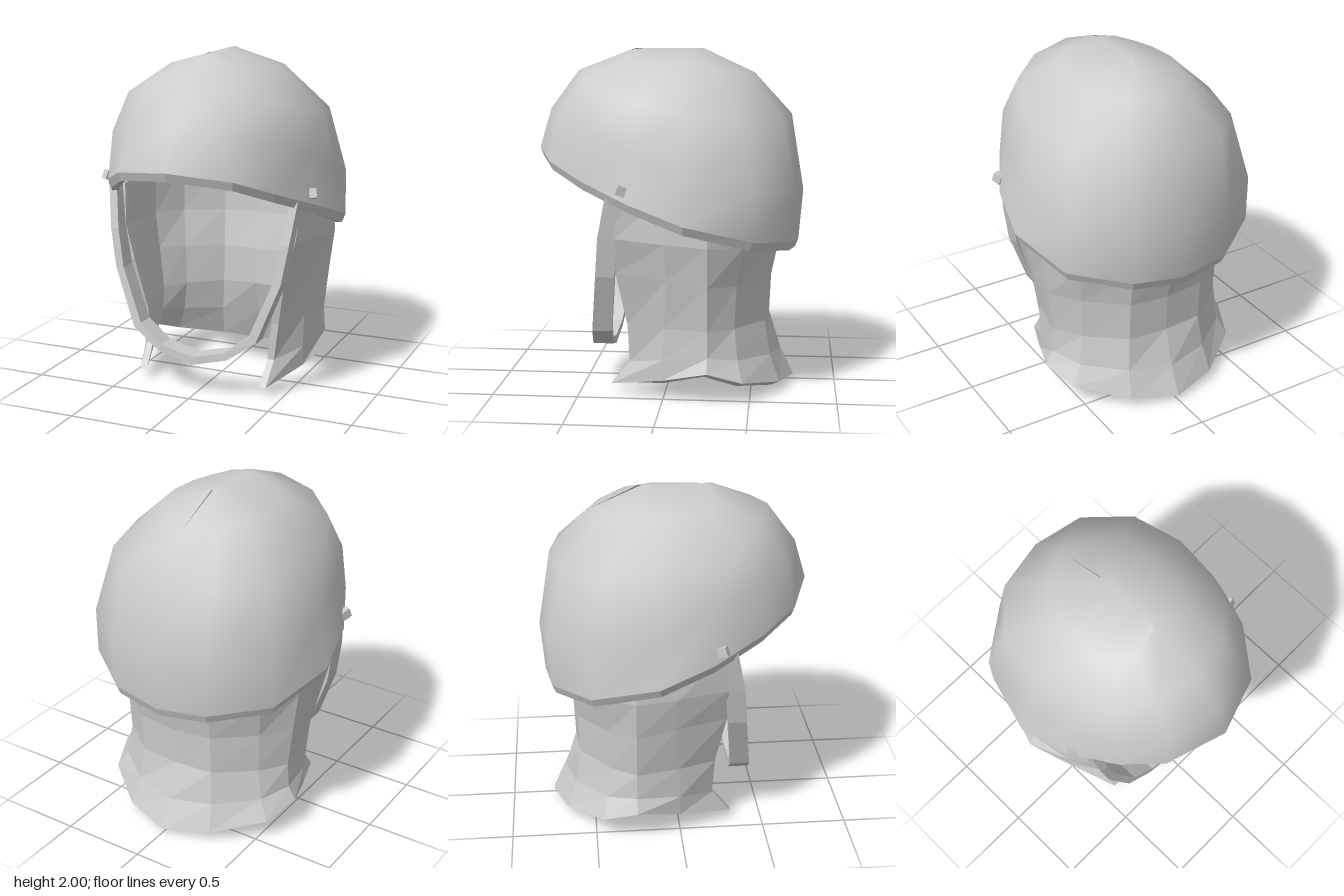
import * as THREE from 'three';
import { mergeVertices } from 'three/addons/utils/BufferGeometryUtils.js';

// Surface through rows of [x, y, z] points; flat or smooth shaded
function skin(rows, closed, smooth) {
  const n = rows[0].length, idx = [];
  for (let r = 0; r < rows.length - 1; r++) {
    for (let c = 0; c < (closed ? n : n - 1); c++) {
      const d = (c + 1) % n;
      const a = r * n + c, b = r * n + d, e = (r + 1) * n + d, f = (r + 1) * n + c;
      idx.push(a, b, e, a, e, f);
    }
  }
  let g = new THREE.BufferGeometry();
  g.setAttribute('position', new THREE.Float32BufferAttribute(rows.flat(2), 3));
  g.setIndex(idx);
  g = smooth ? mergeVertices(g, 1e-4) : g.toNonIndexed();
  g.computeVertexNormals();
  return g;
}

const flip = ([x, y, z]) => [-x, y, z];
// Half ring (front centre to back centre) to a full closed ring
const ring = half => [...half, ...half.slice(1, -1).reverse().map(flip)];
// Half arc (side to back centre) to a full open arc
const arc = half => [...half, ...half.slice(0, -1).reverse().map(flip)];

export function createModel() {
  const model = new THREE.Group();
  const grey = new THREE.MeshStandardMaterial({ color: 0xcccccc });
  grey.name = 'helmetGrey';
  const add = (name, geometry, parent = model) => {
    const mesh = new THREE.Mesh(geometry, grey);
    mesh.name = name;
    parent.add(mesh);
    return mesh;
  };

  // Dome rows from the slanted brim up to the crown ridge
  const dome = [
    [[0, 1.405, .79], [.35, 1.36, .67], [.52, 1.27, .47], [.67, 1.16, .18],
      [.73, 1.05, -.13], [.615, .95, -.51], [.31, .9, -.73], [0, .87, -.77]],
    [[0, 1.64, .72], [.3, 1.61, .63], [.5, 1.55, .44], [.61, 1.46, .18],
      [.66, 1.33, -.13], [.61, 1.23, -.52], [.31, 1.18, -.75], [0, 1.17, -.795]],
    [[0, 1.87, .55], [.26, 1.84, .48], [.44, 1.77, .35], [.54, 1.71, .15],
      [.58, 1.67, -.13], [.52, 1.63, -.44], [.3, 1.62, -.66], [0, 1.62, -.72]],
    [[0, 1.99, .24], [.16, 1.95, .25], [.26, 1.92, .18], [.31, 1.91, .07],
      [.32, 1.91, -.1], [.29, 1.9, -.26], [.17, 1.87, -.42], [0, 1.86, -.5]],
    [.2, .16, .1, .02, -.06, -.13, -.18, -.2].map(z => [0, 2, z]),
  ].map(ring);
  add('dome', skin(dome, true, true));

  // Brim edge and the hollow inside
  const lower = dome[0].map(([x, y, z]) => [x * .97, y - .05, z * .975]);
  const lining = dome.map(row => row.map(([x, y, z]) => [x * .9, 1.1 + (y - 1.1) * .92, z * .92]));
  lining[0] = dome[0].map(([x, y, z]) => [x * .9, y - .045, z * .92]);
  add('brimSide', skin([lower, dome[0]], true));
  add('brimUnderside', skin([lining[0], lower], true));
  add('lining', skin([...lining].reverse(), true, true));

  // Neck guard, bottom row first, flared at the hem and open at the front
  const outer = [
    [[.41, .06, .31], [.53, .12, 0], [.625, .19, -.26], [.55, .12, -.46], [.28, .06, -.67], [0, .03, -.75]],
    [[.42, .2, .2], [.53, .24, 0], [.58, .27, -.26], [.49, .24, -.43], [.26, .22, -.61], [0, .2, -.67]],
    [[.45, .43, .21], [.53, .43, -.01], [.57, .42, -.26], [.46, .42, -.41], [.24, .42, -.58], [0, .42, -.6]],
    [[.51, .74, .27], [.58, .72, -.03], [.6, .68, -.26], [.47, .67, -.42], [.24, .66, -.59], [0, .65, -.61]],
    [[.57, .95, .27], [.62, .93, -.02], [.63, .91, -.26], [.5, .9, -.46], [.25, .89, -.63], [0, .89, -.66]],
    [[.59, 1.2, .24], [.61, 1.2, -.02], [.62, 1.2, -.26], [.5, 1.2, -.47], [.26, 1.2, -.65], [0, 1.2, -.68]],
  ].map(arc);
  const inner = outer.map((row, r) => row.map(([x, y, z]) =>
    [x * .9, r || z > .2 ? y : Math.max(0, y - .03), z < 0 ? z * .92 : z]));
  const neck = new THREE.Group();
  neck.name = 'neckGuard';
  model.add(neck);
  add('neckWall', skin(outer.map((row, r) => [...row, ...[...inner[r]].reverse()]), true), neck);
  add('neckHem', skin([inner[0], outer[0]], false), neck);
  add('neckTop', skin([outer.at(-1), inner.at(-1)], false), neck);

  // Chin strap: [outer x, outer y, inner x, inner y, back z, front z]
  const half = [
    [.6, 1.22, .55, 1.22, .2, .31], [.565, .95, .515, .95, .25, .365],
    [.525, .72, .475, .72, .275, .385], [.39, .37, .345, .4, .31, .425],
    [.22, .25, .2, .29, .325, .445], [0, .195, 0, .245, .335, .455],
  ];
  const path = [...half, ...half.slice(0, -1).reverse().map(
    ([ox, oy, ix, iy, b, f]) => [-ox, oy, -ix, iy, b, f])];
  add('chinStrap', skin(path.map(([ox, oy, ix, iy, b, f]) =>
    [[ox, oy, b], [ox, oy, f], [ix, iy, f], [ix, iy, b]]), true));

  // Strap rivets on both sides of the dome
  for (const side of [1, -1]) {
    const rivet = add(side > 0 ? 'leftRivet' : 'rightRivet', new THREE.BoxGeometry(.04, .055, .055));
    rivet.position.set(side * .652, 1.235, .222);
    rivet.rotation.set(-.4, side * .4, side * .2);
  }
  return model;
}
